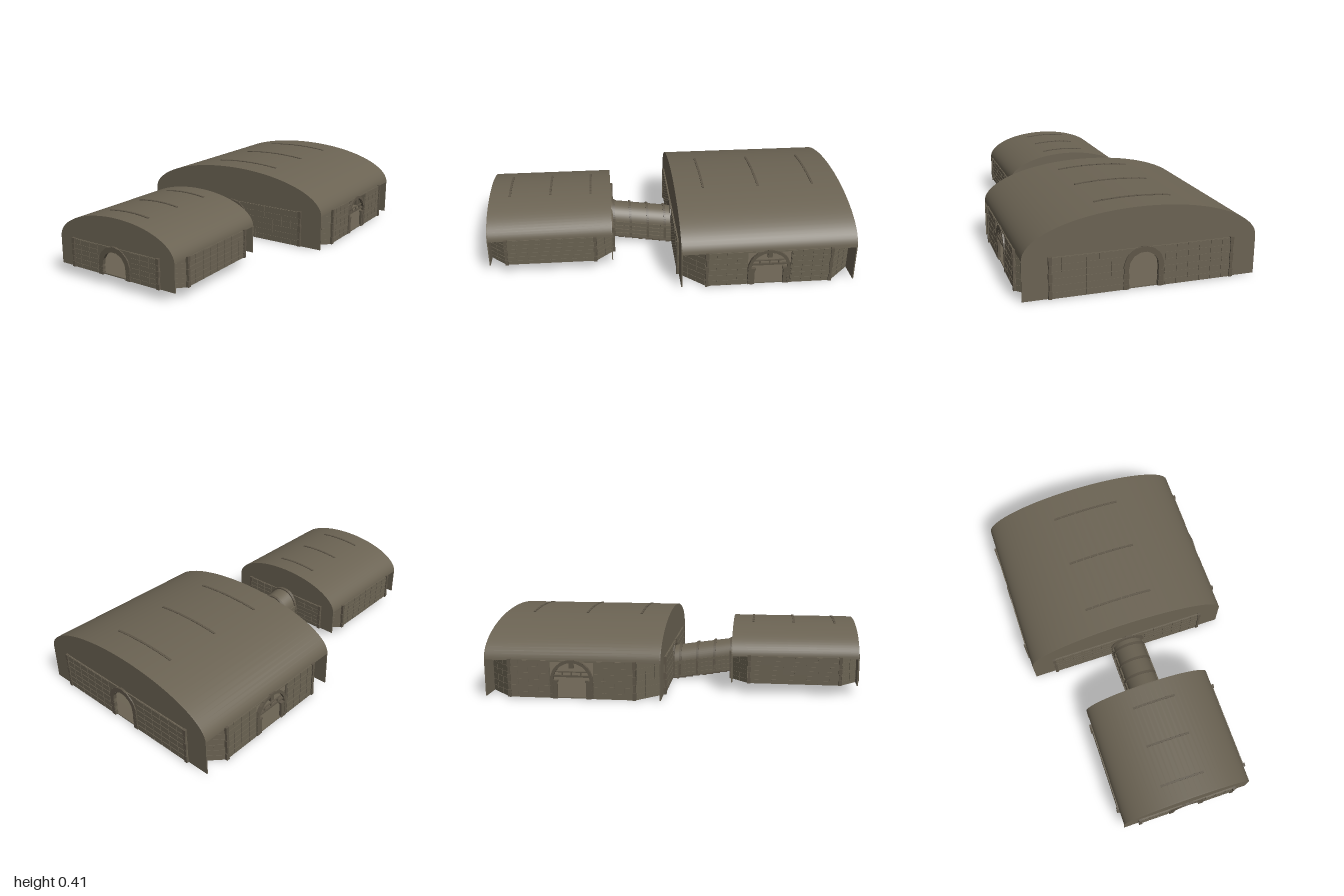
import * as THREE from 'three';
import { mergeGeometries, toCreasedNormals } from 'three/addons/utils/BufferGeometryUtils.js';

const stone = new THREE.MeshStandardMaterial({ color: 0x6b6353, side: THREE.DoubleSide });
stone.name = 'stone';
const trim = new THREE.MeshStandardMaterial({ color: 0x5f5749 });
trim.name = 'darkStone';

const WALL_TOP = 0.205;
const SPRING = 0.11; // height where door arches begin

function add(parent, name, geo, mat = stone) {
  const m = new THREE.Mesh(geo, mat);
  m.name = name;
  parent.add(m);
  return m;
}
function box(w, h, d, x, y, z, rz = 0) {
  return new THREE.BoxGeometry(w, h, d).rotateZ(rz).translate(x, y, z);
}
const extrude = (shape, depth, curveSegments = 24) =>
  new THREE.ExtrudeGeometry(shape, { depth, bevelEnabled: false, curveSegments });
const polygon = pts => new THREE.Shape(pts.map(p => new THREE.Vector2(p[0], p[1])));

// points on the upper half of an ellipse, from +x to -x
function arc(rx, ry, y, n = 40) {
  return Array.from({ length: n + 1 }, (_, i) => {
    const t = (i / n) * Math.PI;
    return [rx * Math.cos(t), y + ry * Math.sin(t)];
  });
}

// wedge-like stones around an arch, with jambs beneath
function archTrim(r, thick, y0, spring, depth, z) {
  const n = 13, R = r + thick / 2, parts = [];
  for (let i = 0; i < n; i++) {
    const t = ((i + 0.5) / n) * Math.PI;
    parts.push(box(thick * (i % 2 ? 0.9 : 1), (Math.PI * (R + thick / 2) / n) * 0.96, depth,
      R * Math.cos(t), spring + R * Math.sin(t), z, t));
  }
  const jambs = 4, h = (spring - y0) / jambs;
  for (const s of [-1, 1]) for (let j = 0; j < jambs; j++)
    parts.push(box(thick * (j % 2 ? 0.85 : 1), h * 0.95, depth, s * R, y0 + (j + 0.5) * h, z));
  return mergeGeometries(parts);
}

// one wall facing +z with its outer face at z = 0
function makeWall(name, half, y0, door) {
  const g = new THREE.Group();
  g.name = name;
  let pts = [[-half, y0], [-half, WALL_TOP], [half, WALL_TOP], [half, y0]];
  let clear = 0;
  if (door === 'arch') {
    pts = pts.concat([[0.075, y0]], arc(0.075, 0.075, SPRING, 20), [[-0.075, y0]]);
    clear = 0.105;
  } else if (door === 'wide') {
    pts = pts.concat([[0.117, y0], [0.117, 0.198], [-0.117, 0.198], [-0.117, y0]]);
    clear = 0.12;
  }
  add(g, 'wallSlab', extrude(polygon(pts), 0.012).translate(0, 0, -0.012));

  // raised courses of blocks
  const rows = 6, h = (WALL_TOP - y0) / rows, blocks = [];
  const spans = clear ? [[-half, -clear], [clear, half]] : [[-half, half]];
  for (const [x0, x1] of spans) {
    const n = Math.max(2, Math.round((x1 - x0) / 0.06)), w = (x1 - x0) / n;
    for (let r = 0; r < rows; r++) for (let i = 0; i < n; i++)
      blocks.push(box(w - 0.004, h - 0.004, 0.003, x0 + (i + 0.5) * w, y0 + (r + 0.5) * h, 0.001));
  }
  add(g, 'wallBlocks', mergeGeometries(blocks));

  if (door === 'arch') add(g, 'doorArch', archTrim(0.073, 0.028, y0, SPRING, 0.018, -0.003), trim);
  if (door === 'wide') {
    add(g, 'wideArch', archTrim(0.098, 0.017, y0, 0.095, 0.016, -0.004), trim);
    add(g, 'archTieBeam', mergeGeometries([
      box(0.2, 0.01, 0.01, 0, 0.122, -0.006), box(0.16, 0.005, 0.008, 0, 0.145, -0.006),
      ...[-0.05, 0, 0.05].map(x => box(0.006, 0.022, 0.008, x, 0.134, -0.006)),
      box(0.025, 0.04, 0.014, 0, 0.185, -0.004)]), trim);
    add(g, 'gatePosts', mergeGeometries([-0.09, 0.09].flatMap(x => [
      box(0.025, 0.09, 0.014, x, 0.045, -0.006), box(0.034, 0.01, 0.018, x, 0.095, -0.006)])), trim);
  }
  return g;
}

function makeHall(o) {
  const { name, zc, a, d, w, s, y0, rise } = o;
  const hall = new THREE.Group();
  hall.name = name;
  hall.position.z = zc;

  // floor with cut corners
  const plan = [[w, d], [a, s], [a, -s], [w, -d], [-w, -d], [-a, -s], [-a, s], [-w, d]];
  add(hall, 'floor', extrude(polygon(plan), 0.006).rotateX(-Math.PI / 2).translate(0, y0, 0));

  // vaulted roof shell
  const shell = polygon([...arc(a, rise, 0.2), ...arc(a - 0.01, rise - 0.01, 0.2).reverse()]);
  const len = 2 * (d - 0.006);
  add(hall, 'vaultRoof', toCreasedNormals(extrude(shell, len).translate(0, 0, -len / 2), 0.6));

  // flat gables whose ends run down to the ground
  const face = polygon([[w, 0.2], [w, y0], [a, y0], ...arc(a, rise, 0.2), [-a, y0], [-w, y0], [-w, 0.2]]);
  for (const k of [-1, 1])
    add(hall, k > 0 ? 'frontGable' : 'backGable', extrude(face, 0.006).translate(0, 0, k > 0 ? d - 0.006 : -d));

  // main walls
  const place = (wall, x, z, ry) => { wall.position.set(x, 0, z); wall.rotation.y = ry; hall.add(wall); };
  place(makeWall('frontWall', w, y0, 'arch'), 0, d + 0.006, 0);
  place(makeWall('backWall', w, y0, 'arch'), 0, -d - 0.006, Math.PI);
  place(makeWall('leftWall', s, y0, o.sideDoor), a + 0.003, 0, Math.PI / 2);
  place(makeWall('rightWall', s, y0, o.sideDoor), -a - 0.003, 0, -Math.PI / 2);

  // diagonal corner walls and the pilasters beside them
  const half = Math.hypot(a - w, d - s) / 2 - 0.002, pil = [];
  for (const sx of [-1, 1]) for (const sz of [-1, 1]) {
    place(makeWall('cornerWall', half, y0), sx * (a + w) / 2, sz * (d + s) / 2,
      Math.atan2(sx * (d - s), sz * (a - w)));
    for (let i = 0; i < 5; i++) {
      const h = (WALL_TOP + 0.005 - y0) / 5, y = y0 + (i + 0.5) * h, q = i % 2 ? 0.012 : 0.018;
      pil.push(box(q, h - 0.002, 0.018, sx * (w - 0.006), y, sz * (d + 0.005)));
      pil.push(box(0.018, h - 0.002, q, sx * (a + 0.003), y, sz * (s - 0.006)));
    }
  }
  add(hall, 'pilasters', mergeGeometries(pil), trim);

  // ribs showing through the crown of the roof, and full ribs inside
  for (const k of [-1, 0, 1]) {
    const n = 9, parts = [], z = k * o.ribGap;
    for (let i = 0; i < n; i++) {
      const x = ((i + 0.5) / n - 0.5) * a * 0.68, e = Math.sqrt(1 - (x / a) ** 2);
      parts.push(box(a * 0.068, 0.006, 0.012, x, 0.2 + rise * e + 0.001, z, Math.atan2(-rise * x, a * a * e)));
    }
    add(hall, 'crownRib', mergeGeometries(parts), trim);
    const rib = polygon([...arc(a - 0.01, rise - 0.01, 0.2), ...arc(a - 0.022, rise - 0.025, 0.2).reverse()]);
    add(hall, 'innerRib', extrude(rib, 0.02).translate(0, 0, z - 0.01));
  }
  return hall;
}

// sloping vaulted passage between the halls
function makePassage() {
  const g = new THREE.Group();
  g.name = 'passage';
  const z0 = -0.045, z1 = 0.312, len = z1 - z0;
  const slope = geo => {
    const p = geo.attributes.position;
    for (let i = 0; i < p.count; i++) p.setY(i, p.getY(i) + 0.052 * (p.getZ(i) - z0) / len);
    geo.computeVertexNormals();
    return geo;
  };
  const section = (ro, ri) => polygon([[ro, 0], ...arc(ro, ro, 0.085, 24), [-ro, 0],
    [-ri, 0], ...arc(ri, ri, 0.085, 24).reverse(), [ri, 0]]);
  add(g, 'passageVault', toCreasedNormals(slope(extrude(section(0.09, 0.077), len).translate(0, 0, z0)), 0.6));
  for (const z of [0, 0.1, 0.2, 0.295])
    add(g, 'passageRib', slope(extrude(section(0.097, 0.077), 0.014).translate(0, 0, z - 0.007)), trim);

  // stone bands along the sides
  const bands = [];
  for (const s of [-1, 1]) for (let r = 0; r < 4; r++) for (let i = 0; i < 5; i++)
    bands.push(box(0.012, 0.02, len / 5 - 0.006, s * 0.091, 0.014 + r * 0.024, z0 + (i + 0.5) * len / 5));
  add(g, 'sideBands', slope(mergeGeometries(bands)));

  // stair treads
  const n = 9, steps = [];
  for (let i = 0; i < n; i++)
    steps.push(box(0.21, 0.008, len / n + 0.004, 0, 0.004 + 0.051 * (i / (n - 1)), z0 + (i + 0.5) * len / n));
  add(g, 'stairs', mergeGeometries(steps), trim);
  return g;
}

export function createModel() {
  const model = new THREE.Group();
  model.name = 'vaultedHalls';
  model.add(makeHall({ name: 'largeHall', zc: -0.515, a: 0.585, d: 0.47, w: 0.46, s: 0.34,
    y0: 0.003, rise: 0.205, ribGap: 0.31, sideDoor: 'wide' }));
  model.add(makeHall({ name: 'smallHall', zc: 0.647, a: 0.365, d: 0.337, w: 0.278, s: 0.247,
    y0: 0.055, rise: 0.156, ribGap: 0.225 }));
  model.add(makePassage());

  // furnishings
  add(model, 'altar', mergeGeometries([box(0.096, 0.04, 0.05, 0, 0.08, 0.647), box(0.104, 0.006, 0.058, 0, 0.102, 0.647)]), trim);
  add(model, 'pedestal', new THREE.CylinderGeometry(0.014, 0.02, 0.055, 12).translate(0, 0.032, -0.515), trim);
  add(model, 'hangingLamp', mergeGeometries([
    new THREE.CylinderGeometry(0.0015, 0.0015, 0.25, 6).translate(0, 0.265, -0.515),
    new THREE.CylinderGeometry(0.003, 0.005, 0.02, 8).translate(0, 0.135, -0.515)]), trim);
  return model;
}
